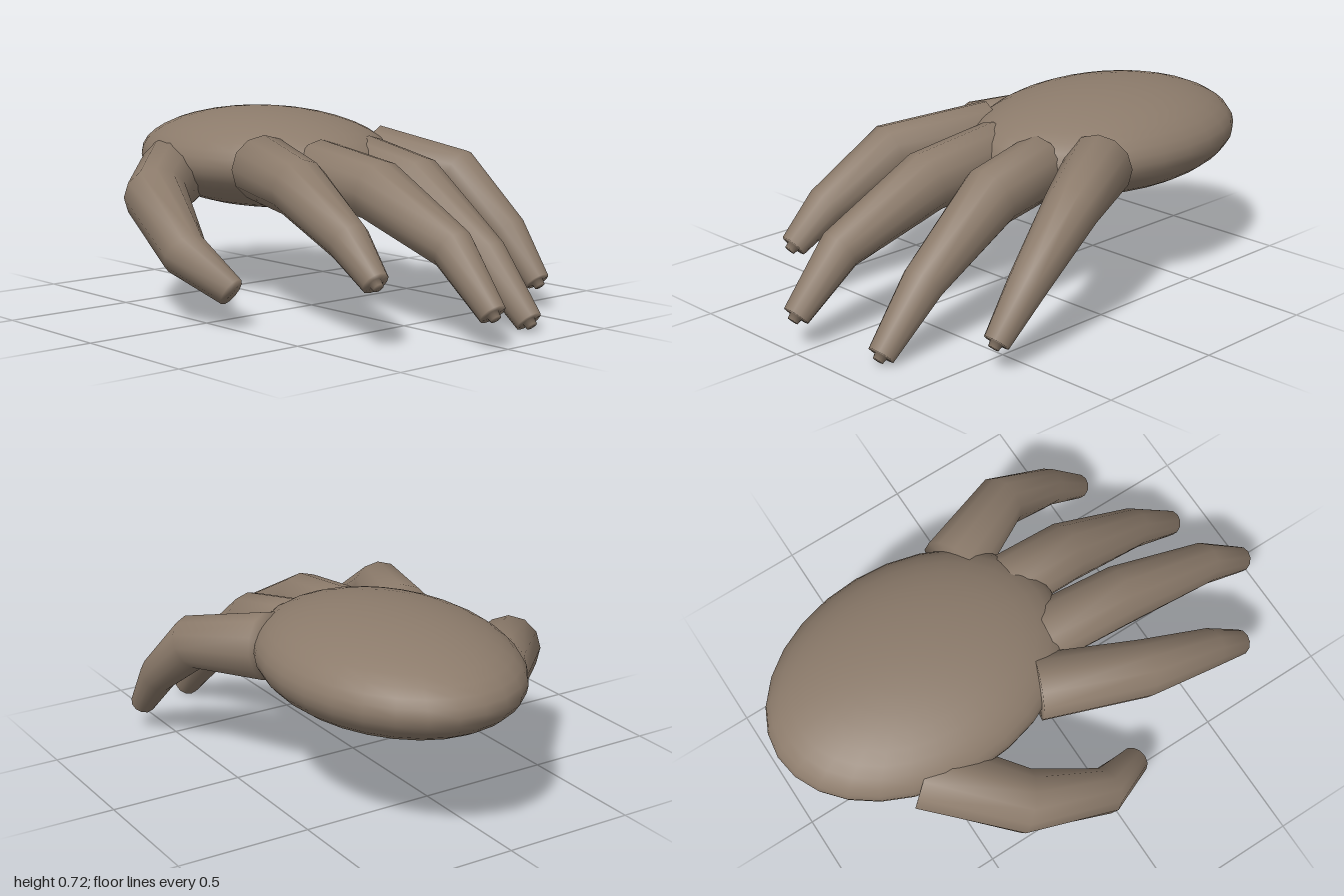
import * as THREE from 'three';

const SIDES = 12;

// Smooth closed tube through joints [x, y, z, radius]; rings sit square to the path
function digitGeometry(joints, nub) {
  const pts = joints.map(j => new THREE.Vector3(j[0], j[1], j[2]));
  const last = pts.length - 1;
  const dir = (a, b) => pts[b].clone().sub(pts[a]).normalize();
  const rings = pts.map((c, i) => {
    const t = new THREE.Vector3();
    if (i > 0) t.add(dir(i - 1, i));
    if (i < last) t.add(dir(i, i + 1));
    return { c, t: t.normalize(), r: joints[i][3] };
  });
  const end = rings[last];
  if (nub) {
    // small stub at the fingertip
    rings.push({ c: end.c, t: end.t, r: 0.024 });
    rings.push({ c: end.c.clone().addScaledVector(end.t, 0.022), t: end.t, r: 0.02 });
  }
  const pos = [], index = [];
  const up = new THREE.Vector3(0, 1, 0);
  for (const { c, t, r } of rings) {
    const side = up.clone().cross(t).normalize();
    const n = t.clone().cross(side);
    for (let s = 0; s < SIDES; s++) {
      const a = s / SIDES * Math.PI * 2;
      const p = c.clone().addScaledVector(side, r * Math.cos(a)).addScaledVector(n, r * Math.sin(a));
      pos.push(p.x, p.y, p.z);
    }
  }
  const first = pos.length / 3, top = rings.length - 1;
  pos.push(...rings[0].c.toArray(), ...rings[top].c.toArray());
  for (let s = 0; s < SIDES; s++) {
    const n = (s + 1) % SIDES;
    for (let i = 0; i < top; i++) {
      const a = i * SIDES, b = a + SIDES;
      index.push(a + s, a + n, b + s, a + n, b + n, b + s);
    }
    index.push(first, n, s, first + 1, top * SIDES + s, top * SIDES + n);
  }
  const g = new THREE.BufferGeometry();
  g.setAttribute('position', new THREE.Float32BufferAttribute(pos, 3));
  g.setIndex(index);
  g.computeVertexNormals();
  return g;
}

export function createModel() {
  const group = new THREE.Group();
  group.name = 'hand';
  const skin = new THREE.MeshStandardMaterial({ color: 0x8c7b6b });
  skin.name = 'skin';

  const add = (name, geometry) => {
    const m = new THREE.Mesh(geometry, skin);
    m.name = name;
    group.add(m);
    return m;
  };

  // Palm: flattened ball
  const palm = add('palm', new THREE.SphereGeometry(1, 28, 20));
  palm.scale.set(0.43, 0.195, 0.585);
  palm.position.set(0.12, 0.535, -0.415);

  // Digits: base, knuckle, last joint, tip
  const digits = {
    indexFinger: [[-0.165, 0.535, -0.08, 0.125], [-0.31, 0.51, 0.29, 0.108], [-0.34, 0.36, 0.58, 0.077], [-0.353, 0.24, 0.725, 0.05]],
    middleFinger: [[0, 0.525, 0.04, 0.118], [-0.015, 0.485, 0.38, 0.114], [-0.032, 0.325, 0.77, 0.08], [-0.04, 0.13, 0.965, 0.05]],
    ringFinger: [[0.235, 0.525, 0.04, 0.118], [0.246, 0.475, 0.31, 0.114], [0.265, 0.25, 0.65, 0.078], [0.27, 0.045, 0.85, 0.05]],
    littleFinger: [[0.405, 0.535, -0.08, 0.125], [0.55, 0.485, 0.22, 0.1], [0.582, 0.285, 0.46, 0.072], [0.582, 0.115, 0.61, 0.048]],
    thumb: [[-0.2, 0.48, -0.58, 0.14], [-0.475, 0.43, -0.33, 0.12], [-0.565, 0.265, -0.04, 0.088], [-0.502, 0.145, 0.145, 0.055]],
  };
  for (const [name, joints] of Object.entries(digits)) {
    add(name, digitGeometry(joints, name !== 'thumb'));
  }
  return group;
}
